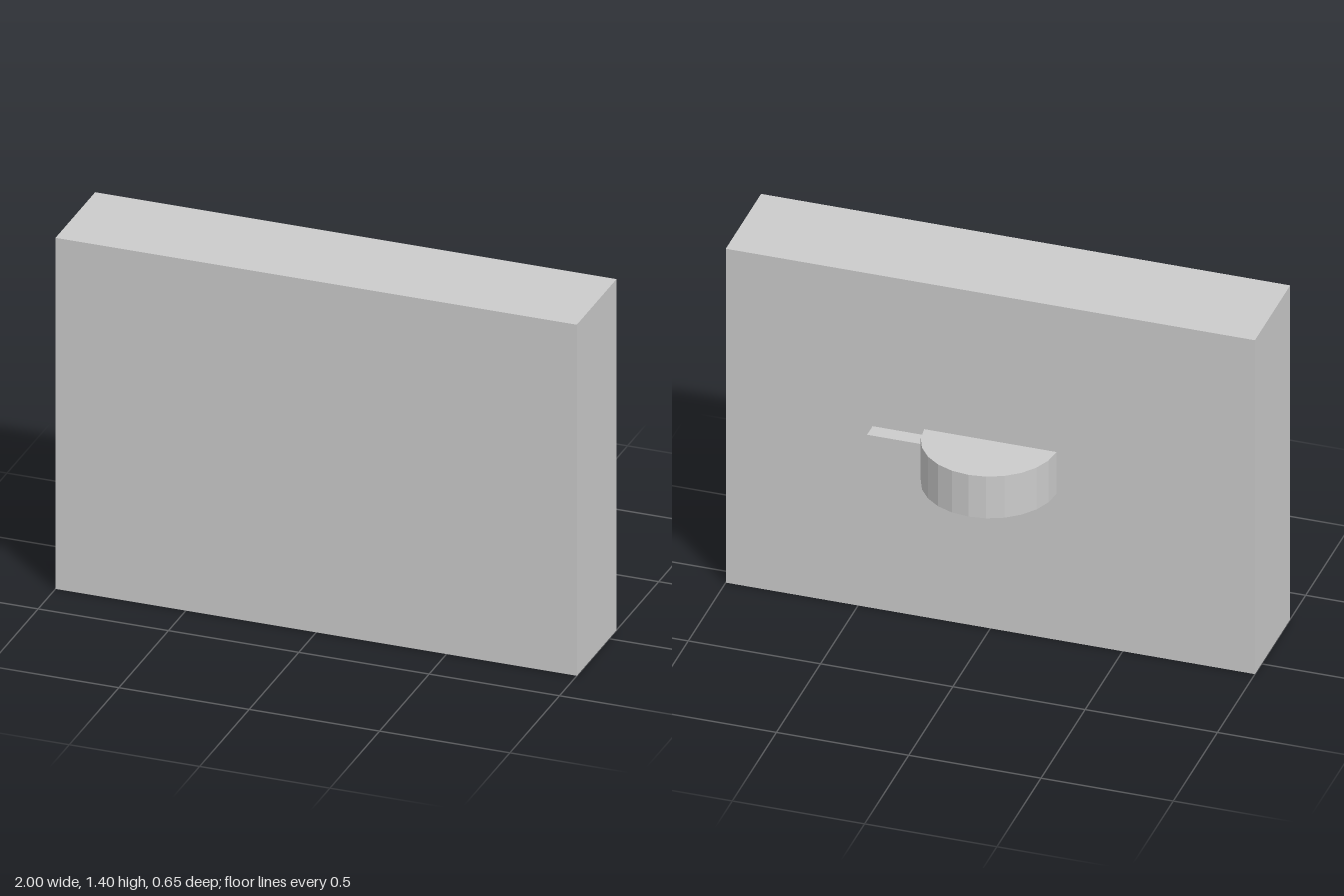
import * as THREE from 'three';

export function createModel() {
  const group = new THREE.Group();
  const material = new THREE.MeshStandardMaterial({ color: 0xcccccc, flatShading: true });
  const backZ = -0.075; // rear face of the panel
  const midY = 0.7;

  const add = (name, geometry, x, y, z) => {
    const mesh = new THREE.Mesh(geometry, material);
    mesh.name = name;
    mesh.position.set(x, y, z);
    group.add(mesh);
  };

  // Thick upright slab
  add('panel', new THREE.BoxGeometry(2, 1.4, 0.4), 0, midY, backZ + 0.2);

  // Half disc standing out from the rear face, its flat side against the panel
  add('halfDisc', new THREE.CylinderGeometry(0.25, 0.25, 0.175, 12, 1, false, Math.PI / 2, Math.PI),
    0, midY, backZ);

  // Short bar reaching from the half disc towards the model's left
  const inner = 0.2, outer = 0.445, depth = 0.0625;
  add('sideBar', new THREE.BoxGeometry(outer - inner, 0.125, depth),
    (inner + outer) / 2, midY, backZ - depth / 2);

  return group;
}
